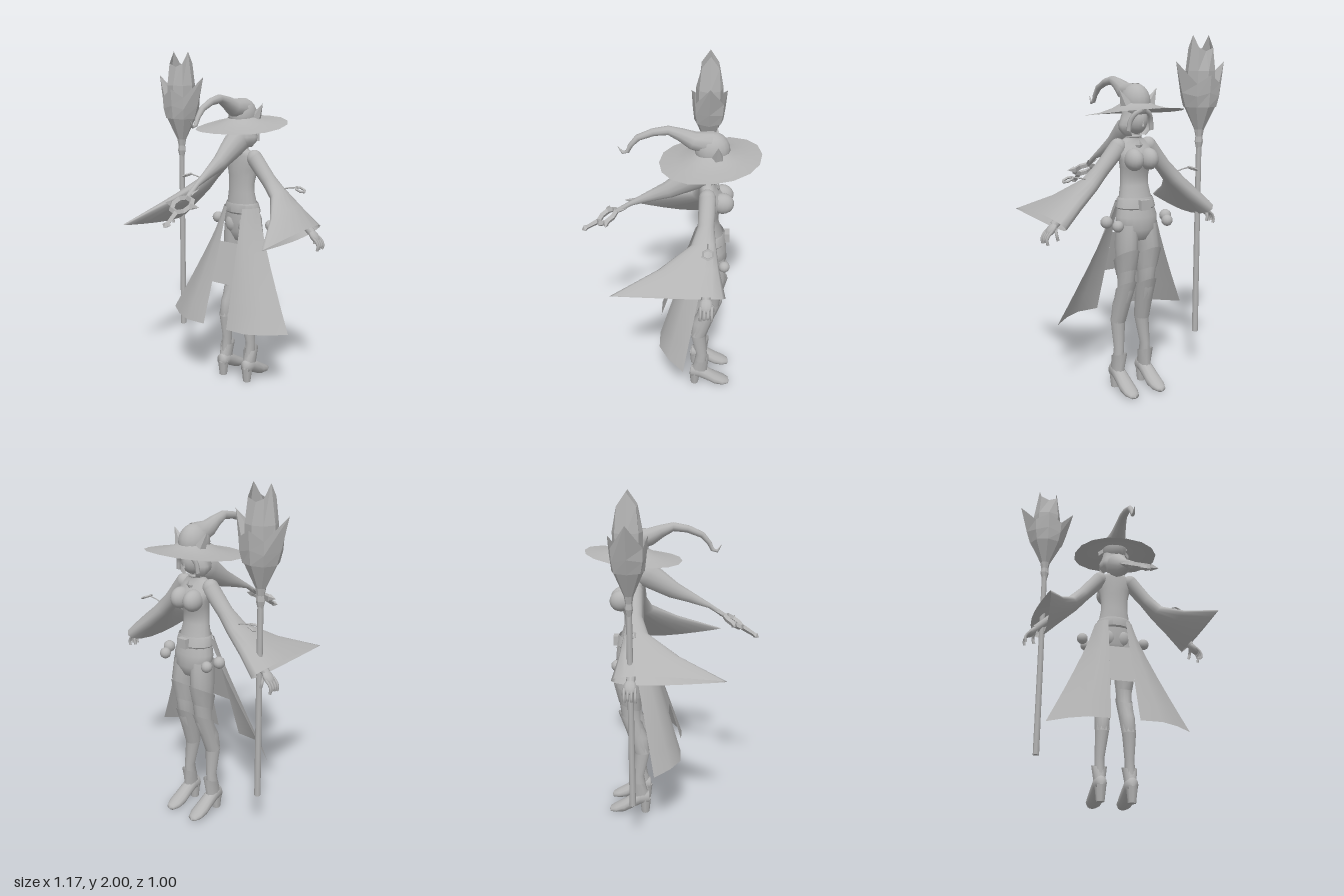
import * as THREE from 'three';
import { toCreasedNormals } from 'three/addons/utils/BufferGeometryUtils.js';

const grey = new THREE.MeshStandardMaterial({ color: 0xb4b4b4, side: THREE.DoubleSide });
grey.name = 'plain grey';

const add = (parent, name, geo) => {
  const m = new THREE.Mesh(geo, grey);
  m.name = name;
  parent.add(m);
  return m;
};
const place = (m, x, y, z, sx = 1, sy = sx, sz = sx) => {
  m.position.set(x, y, z);
  m.scale.set(sx, sy, sz);
  return m;
};
const faceted = (g) => {
  const f = g.toNonIndexed();
  f.computeVertexNormals();
  return f;
};
// Grid surface from a rule f(i, j) -> [x, y, z]; wraps in i when closed
function sheet(nu, nv, f, closed = false) {
  const pos = [], idx = [];
  for (let j = 0; j < nv; j++) for (let i = 0; i < nu; i++) pos.push(...f(i, j));
  for (let j = 0; j < nv - 1; j++) {
    for (let i = 0; i < (closed ? nu : nu - 1); i++) {
      const a = j * nu + i, b = j * nu + (i + 1) % nu;
      idx.push(a, a + nu, b, b, a + nu, b + nu);
    }
  }
  const g = new THREE.BufferGeometry();
  g.setAttribute('position', new THREE.Float32BufferAttribute(pos, 3));
  g.setIndex(idx);
  g.computeVertexNormals();
  return g;
}
// Loft through ellipses, each given by a centre, two half axes and a taper towards the first axis
const loft = (rows, n = 14) => sheet(n, rows.length, (i, j) => {
  const a = (i / n) * Math.PI * 2, [c, u, v, taper = 0] = rows[j];
  return c.map((k, d) => k + u[d] * Math.cos(a) + v[d] * Math.sin(a) * (1 - taper * Math.cos(a)));
}, true);
// Horizontal ellipse: tilt lifts the -z side
const ring = ([y, x, z, rx, rz, tilt = 0]) => [[x, y, z], [rx, 0, 0], [0, tilt, -rz]];
const tube = (pts, r, n = 6) =>
  new THREE.TubeGeometry(new THREE.CatmullRomCurve3(pts.map((p) => new THREE.Vector3(...p))), 8, r, n);

function buildBody(g) {
  add(g, 'torso', loft([
    [1.5, 0, -.235, .03, .03], [1.455, 0, -.218, .034, .034], [1.435, 0, -.215, .07, .04],
    [1.41, 0, -.218, .1, .048], [1.37, 0, -.235, .108, .064], [1.33, 0, -.243, .1, .075],
    [1.29, 0, -.236, .09, .064], [1.24, 0, -.227, .085, .056], [1.19, 0, -.228, .085, .056],
    [1.1, 0, -.238, .1, .075], [1.02, 0, -.25, .125, .085], [.95, 0, -.255, .122, .085],
    [.89, 0, -.255, .06, .06], [.88, 0, -.255, 0, 0]].map(ring), 18));
  for (const s of [-1, 1]) {
    const bust = place(add(g, 'bust', new THREE.SphereGeometry(1, 16, 12)), s * .047, 1.335, -.3, .05, .06, .064);
    bust.rotation.x = -.25;
    place(add(g, 'buttock', new THREE.SphereGeometry(1, 14, 10)), s * .042, .995, -.205, .05, .06, .045);
    place(add(g, 'pompom', new THREE.SphereGeometry(.034, 12, 8)), s * .193, 1.0, -.255);
    place(add(g, 'pompom', new THREE.SphereGeometry(.032, 12, 8)), s * .16, .985, -.32);
  }
  add(g, 'belt', toCreasedNormals(loft([[1.125, 0, -.237, .1, .08], [1.115, 0, -.237, .106, .084],
    [1.07, 0, -.243, .116, .088], [1.06, 0, -.243, .11, .08]].map(ring), 14), .6));
  place(add(g, 'buckle', new THREE.BoxGeometry(.06, .055, .03)), 0, 1.09, -.335);
  const choker = place(add(g, 'choker', new THREE.TorusGeometry(.04, .008, 5, 14)), 0, 1.455, -.218);
  choker.rotation.x = Math.PI / 2;
  place(add(g, 'pendant', faceted(new THREE.OctahedronGeometry(.025))), 0, 1.41, -.275, 1, 1.2, .4);
}

function buildHead(g) {
  place(add(g, 'head', new THREE.SphereGeometry(1, 16, 12)), 0, 1.545, -.245, .06, .078, .07);
  place(add(g, 'nose', new THREE.ConeGeometry(.009, .03, 4)), 0, 1.527, -.316);
  // Wavy bob, open towards the face
  const width = [.068, .074, .082, .095, .09, .062];
  add(g, 'hairBob', sheet(25, 6, (i, j) => {
    const a = -.85 + (i / 24) * (Math.PI + 1.7);
    const r = width[j] * (1 + .05 * j / 5 * Math.cos(i * Math.PI / 2));
    return [r * Math.cos(a), 1.61 - .03 * j, -.232 + .85 * r * Math.sin(a)];
  }));
  for (const s of [-1, 1]) {
    add(g, 'fringe', tube([[s * .01, 1.6, -.315], [s * .045, 1.58, -.305], [s * .066, 1.54, -.29],
      [s * .072, 1.49, -.285]], .013));
  }
}

function buildHat(g) {
  const radii = [.3, .45, .7, 1], lift = [.055, .033, .012, 0];
  const soft = (k) => Math.sign(k) * Math.pow(Math.abs(k), .9);
  add(g, 'hatBrim', sheet(16, 4, (i, j) => {
    const a = (i / 16) * Math.PI * 2, z = .275 * radii[j] * soft(Math.sin(a));
    return [.258 * radii[j] * soft(Math.cos(a)), 1.578 - .11 * z + .15 * z * z + lift[j], z - .225];
  }, true));
  place(add(g, 'hatCrown', new THREE.SphereGeometry(1, 16, 10)), 0, 1.64, -.235, .078, .1, .095);
  // Crown tail: z, y, radius and slope of the path
  const tail = [[-.22, 1.68, .066, .3], [-.13, 1.695, .049, .4], [-.07, 1.725, .036, .4], [0, 1.75, .025, 0],
    [.08, 1.738, .021, -.35], [.16, 1.705, .018, -.7], [.2, 1.66, .014, -1.3], [.218, 1.622, .011, -.9],
    [.245, 1.615, .009, .3], [.268, 1.65, .002, 1.1]];
  add(g, 'hatTail', loft(tail.map(([z, y, r, a]) =>
    [[0, y, z], [r, 0, 0], [0, r * Math.cos(a), -r * Math.sin(a)]]), 10));
  for (const s of [-1, 1]) {
    const ear = place(add(g, 'hatEar', faceted(new THREE.ConeGeometry(.04, .115, 5))), s * .092, 1.662, -.262);
    ear.rotation.z = -s * .5;
  }
}

function buildHood(g) {
  const rows = [[-.2, 1.5, .064, .075], [-.14, 1.475, .066, .075], [0, 1.388, .039, .05],
    [.1, 1.345, .025, .032], [.21, 1.295, .014, .014], [.3, 1.235, .014, .014]];
  add(g, 'hoodTail', loft(rows.map(([z, y, rx, h]) => [[0, y, z], [rx, 0, 0], [0, h * .85, h * .5]]), 12));
  const charm = new THREE.Group();
  charm.name = 'tailCharm';
  charm.position.set(0, 1.205, .345);
  charm.rotation.x = -1;
  g.add(charm);
  add(charm, 'charmRing', faceted(new THREE.TorusGeometry(.06, .017, 4, 8)));
  for (const s of [-1, 1]) {
    const spike = place(add(charm, 'charmSpike', faceted(new THREE.ConeGeometry(.022, .05, 4))), s * .09, 0, 0);
    spike.rotation.z = -s * Math.PI / 2;
    const prong = place(add(charm, 'charmProng', faceted(new THREE.ConeGeometry(.012, .06, 4))), s * .02, .11, 0);
    prong.rotation.z = -s * .4;
  }
  place(add(charm, 'charmStem', faceted(new THREE.CylinderGeometry(.017, .012, .09, 4))), 0, -.11, 0);
  place(add(charm, 'charmTip', faceted(new THREE.OctahedronGeometry(.03))), 0, -.155, 0, 1, .9, .6);
}

function buildArm(g) {
  const n = [.69, .72];
  place(add(g, 'shoulder', new THREE.SphereGeometry(1, 12, 10)), .098, 1.398, -.215, .046, .049, .047);
  // Sleeve: x, y, half thickness, z range, taper; it trails to a point at the cuff
  const rows = [[.1, 1.395, .048, -.262, -.168, 0], [.2, 1.28, .043, -.255, -.165, 0],
    [.27, 1.205, .046, -.265, -.13, .2], [.37, 1.115, .05, -.285, .04, .45], [.48, 1.015, .05, -.32, .295, .65]];
  add(g, 'sleeve', loft(rows.map(([x, y, h, a, b, taper]) =>
    [[x, y, (a + b) / 2], [0, 0, (b - a) / 2], [n[0] * h, n[1] * h, 0], taper]), 18));
  add(g, 'forearm', tube([[.2, 1.28, -.215], [.36, 1.13, -.215], [.49, 1.01, -.215]], .024, 8));
  const palm = place(add(g, 'palm', new THREE.SphereGeometry(1, 10, 8)), .507, .99, -.217, .02, .042, .036);
  palm.rotation.z = .7;
  for (let i = 0; i < 4; i++) {
    const z = -.188 - i * .02;
    add(g, 'finger', tube([[.515, .985, z], [.537, .965, z], [.548, .94, z], [.543, .915 + (i % 3) * .006, z]], .008));
  }
  add(g, 'thumb', tube([[.49, .995, -.235], [.495, .965, -.255], [.487, .935, -.255]], .009));
  const loop = place(add(g, 'sleeveRing', faceted(new THREE.TorusGeometry(.03, .007, 4, 6))), .407, 1.246, -.22);
  loop.rotation.set(Math.PI / 2, -.4, 0);
  add(g, 'sleeveCord', tube([[.25, 1.22, -.22], [.32, 1.245, -.22], [.38, 1.256, -.22]], .004, 4));
}

function buildLeg(g) {
  add(g, 'leg', loft([[.98, .062, -.25, .06, .075], [.85, .072, -.262, .06, .078], [.7, .067, -.255, .049, .06],
    [.6, .066, -.25, .043, .055], [.5, .074, -.208, .044, .058], [.4, .08, -.188, .04, .047],
    [.25, .088, -.212, .028, .034], [.1, .09, -.195, .03, .04]].map(ring), 14));
  // Flared bands at thigh and knee, highest at the front
  add(g, 'stockingTop', loft([[.8, .072, -.265, .066, .086, .05], [.7, .067, -.257, .053, .066, .03]].map(ring), 10));
  add(g, 'kneeGuard', loft([[.625, .066, -.255, .052, .073, .04], [.52, .072, -.222, .047, .06, .02],
    [.4, .08, -.188, .042, .049]].map(ring), 10));
  add(g, 'bootCuff', loft([[.21, .088, -.218, .046, .042, .012], [.13, .09, -.203, .035, .05],
    [.09, .09, -.2, .036, .055]].map(ring), 10));
  // Foot sections: z, bottom, top, half width
  const foot = [[-.145, .09, .1, .008], [-.15, .06, .14, .032], [-.2, .055, .15, .039], [-.25, .03, .12, .042],
    [-.3, .004, .085, .046], [-.35, 0, .055, .044], [-.385, .002, .035, .028], [-.392, .01, .02, .004]];
  add(g, 'bootFoot', loft(foot.map(([z, a, b, w]) => [[.09, (a + b) / 2, z], [w, 0, 0], [0, (b - a) / 2, 0]]), 12));
  place(add(g, 'bootHeel', new THREE.CylinderGeometry(.034, .024, .09, 8)), .09, .045, -.172);
}

function buildSkirt(g) {
  // Columns from the back slit to the side: top and hem corners as x, z
  const top = [[.055, -.155], [.075, -.165], [.1, -.19], [.118, -.24]];
  const hem = [[.083, .045], [.21, .045], [.315, -.01], [.42, -.1]];
  const point = (i, y) => {
    const t = (1.1 - y) / .69, k = Math.pow(t, 1.15);
    return [0, 1].map((d) => top[i][d] + (hem[i][d] - top[i][d]) * (d ? t : k));
  };
  for (const s of [-1, 1]) {
    add(g, 'skirtPanel', sheet(4, 7, (i, j) => {
      const y = 1.1 - .115 * j, [x, z] = point(i, y);
      return [s * x, y, z];
    }));
  }
  add(g, 'skirtCentre', sheet(2, 3, (i, j) => {
    const y = .9 - .12 * j, [x, z] = point(0, y);
    return [(i ? 1 : -1) * x, y, z];
  }));
}

function buildStaff(g) {
  place(add(g, 'staffShaft', new THREE.CylinderGeometry(.016, .018, 1.15, 8)), 0, .825, 0);
  const lathe = (pts) => faceted(new THREE.LatheGeometry(pts.map((p) => new THREE.Vector2(...p)), 8));
  place(add(g, 'staffBud', lathe([[.016, 1.36], [.026, 1.4], [.022, 1.43], [.03, 1.47], [.1, 1.61], [.105, 1.65]])),
    0, 0, 0, 1, 1, .85);
  add(g, 'staffCore', lathe([[.075, 1.62], [.05, 1.74], [0, 1.82]]));
  // Petal crowns: per row, radius and height at the x tips, z tips and valleys
  const crown = (rows) => faceted(sheet(8, rows.length, (i, j) => {
    const a = i * Math.PI / 4, [r, y] = rows[j][i % 2 ? 2 : i % 4 ? 1 : 0];
    return [r * Math.cos(a), y, r * Math.sin(a)];
  }, true));
  add(g, 'outerPetals', crown([[[.1, 1.6], [.085, 1.6], [.095, 1.6]], [[.125, 1.68], [.095, 1.68], [.11, 1.66]],
    [[.17, 1.855], [.103, 1.78], [.115, 1.73]]]));
  add(g, 'innerPetals', crown([[[.085, 1.62], [.075, 1.62], [.08, 1.62]], [[.085, 1.8], [.078, 1.8], [.085, 1.8]],
    [[.055, 2], [.05, 1.91], [.07, 1.93]]]));
}

export function createModel() {
  const model = new THREE.Group();
  const group = (name, build, parent, x = 0, z = 0, sx = 1) => {
    const g = new THREE.Group();
    g.name = name;
    g.position.set(x, 0, z);
    g.scale.x = sx;
    build(g);
    parent.add(g);
  };
  const figure = new THREE.Group();
  figure.name = 'figure';
  figure.position.x = .033;
  model.add(figure);
  group('body', buildBody, figure);
  group('headAndHair', buildHead, figure);
  group('hat', buildHat, figure);
  group('hood', buildHood, figure);
  group('skirt', buildSkirt, figure);
  for (const s of [1, -1]) {
    group(s > 0 ? 'leftArm' : 'rightArm', buildArm, figure, 0, 0, s);
    group(s > 0 ? 'leftLeg' : 'rightLeg', buildLeg, figure, 0, 0, s);
  }
  group('staff', buildStaff, model, -.415, -.22);
  return model;
}
